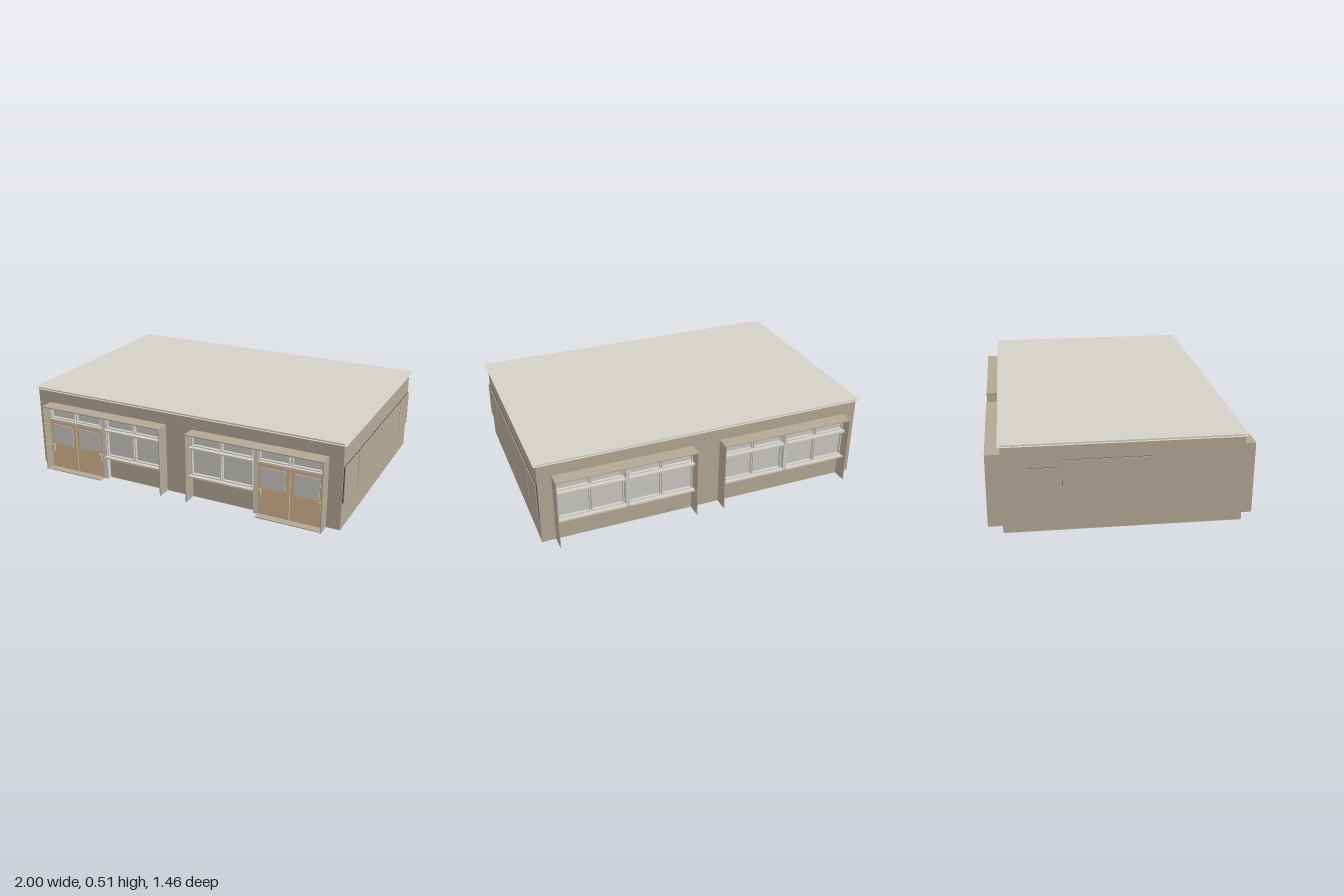
import * as THREE from 'three';

const mat = (name, color) => {
  const m = new THREE.MeshStandardMaterial({ color });
  m.name = name;
  return m;
};

export function createModel() {
  const wall = mat('wall taupe', 0xb4a895);
  const pale = mat('pale grey', 0xd4d0c7);
  const glass = mat('glass grey', 0xcbcac5);
  const wood = mat('door and floor tan', 0xd7b791);
  const dark = mat('dark trim', 0x4a5a52);
  const lipPale = mat('roof lip grey', 0xd4d0c7);
  lipPale.side = THREE.DoubleSide;
  const model = new THREE.Group();
  model.name = 'building';

  // Box given by its limits on each axis
  const box = (parent, name, m, x0, x1, y0, y1, z0, z1) => {
    const mesh = new THREE.Mesh(new THREE.BoxGeometry(Math.abs(x1 - x0), y1 - y0, z1 - z0), m);
    mesh.position.set((x0 + x1) / 2, (y0 + y1) / 2, (z0 + z1) / 2);
    mesh.name = name;
    parent.add(mesh);
    return mesh;
  };

  // Main block with a tan floor slab and a pale roof fascia
  const W = 0.986, D = 0.648;
  box(model, 'floor', wood, -W, W, 0, 0.002, -D, D);
  box(model, 'walls', wall, -W, W, 0.002, 0.497, -D, D);
  box(model, 'roofFascia', pale, -W, W, 0.497, 0.51, -D, D);

  // Thin sheets overhanging above and below the fascia
  for (const y of [0.497, 0.511]) {
    const lip = new THREE.Mesh(new THREE.PlaneGeometry(2, 1.32), lipPale);
    lip.rotation.x = -Math.PI / 2;
    lip.position.y = y;
    lip.name = 'roofLip';
    model.add(lip);
  }

  // Pane set back behind a border of four bars
  const pane = (g, x0, x1, y0, y1) => {
    const b = 0.006, z = D + 0.03;
    box(g, 'windowPane', glass, x0, x1, y0, y1, D + 0.006, D + 0.012);
    box(g, 'paneTop', pale, x0, x1, y1 - b, y1, D, z);
    box(g, 'paneBottom', pale, x0, x1, y0, y0 + b, D, z);
    box(g, 'paneLeft', pale, x0, x0 + b, y0 + b, y1 - b, D, z);
    box(g, 'paneRight', pale, x1 - b, x1, y0 + b, y1 - b, D, z);
  };

  // Two-light window unit with a sill, a transom ledge and top lights
  const windowUnit = (g, x0, x1) => {
    const mid = (x0 + x1) / 2;
    box(g, 'windowFrame', pale, x0, x1, 0.145, 0.415, D, D + 0.008);
    for (const [a, b] of [[x0 + 0.006, mid - 0.003], [mid + 0.003, x1 - 0.006]]) {
      pane(g, a, b, 0.155, 0.314);
      pane(g, a, b, 0.333, 0.41);
    }
    box(g, 'windowSill', pale, x0, x1, 0.145, 0.155, D, D + 0.055);
    box(g, 'transomLedge', pale, x0, x1, 0.32, 0.33, D, D + 0.05);
  };

  // Double door with glazed leaves, handles and top lights
  const doorUnit = (g, x0, x1) => {
    const mid = (x0 + x1) / 2;
    box(g, 'doorFrame', pale, x0, x1, 0, 0.415, D, D + 0.008);
    box(g, 'doorHead', pale, x0, x1, 0.32, 0.33, D, D + 0.04);
    box(g, 'threshold', wall, x0, x1, 0, 0.005, D, 0.722);
    for (const s of [-1, 1]) {
      const inner = mid + s * 0.002, outer = s < 0 ? x0 : x1;
      const a = Math.min(inner, outer), b = Math.max(inner, outer);
      box(g, 'doorLeaf', wood, a, b, 0.005, 0.318, D, D + 0.03);
      const c = (a + b) / 2 + s * 0.004;
      box(g, 'doorGlass', glass, c - 0.073, c + 0.073, 0.167, 0.294, D + 0.026, D + 0.034);
      const h = outer - s * 0.012;
      box(g, 'doorHandle', wood, h - 0.008, h + 0.008, 0.115, 0.16, D + 0.03, D + 0.044);
      pane(g, a + 0.004, b - 0.004, 0.333, 0.41);
    }
  };

  // Shaded bay: canopy, two fins, and its windows or doors
  const bay = (side, hasDoor) => {
    const g = new THREE.Group();
    g.name = hasDoor ? 'entranceBay' : 'windowBay';
    const x0 = side > 0 ? 0.084 : -0.906, x1 = side > 0 ? 0.906 : -0.084;
    const Z = 0.731;
    box(g, 'canopy', wall, x0, x1, 0.414, 0.42, D, Z);
    box(g, 'finA', wall, x0, x0 + 0.005, 0, 0.414, D, Z);
    box(g, 'finB', wall, x1 - 0.005, x1, 0, 0.414, D, Z);
    box(g, 'bayBacking', pale, x0 + 0.005, x1 - 0.005, 0.145, 0.414, D, D + 0.005);
    const span = (a, b) => side > 0 ? [a, b] : [-b, -a];
    windowUnit(g, ...span(0.09, 0.485));
    if (hasDoor) {
      doorUnit(g, ...span(0.514, 0.89));
      box(g, 'mullion', pale, ...span(0.485, 0.514), 0, 0.414, D, D + 0.03);
      box(g, 'jamb', pale, ...span(0.89, 0.9), 0, 0.414, D, D + 0.03);
    } else {
      windowUnit(g, ...span(0.505, 0.9));
      box(g, 'mullion', pale, ...span(0.485, 0.505), 0.145, 0.414, D, D + 0.05);
    }
    return g;
  };

  // Entrances in front, windows only at the back
  for (const side of [-1, 1]) {
    model.add(bay(side, true));
    const back = bay(side, false);
    back.rotation.y = Math.PI;
    model.add(back);
  }

  // Flat panels on the end walls, edged in dark trim
  const sidePanel = (s, y0, y1, z0, z1) => {
    box(model, 'panelEdge', dark, s * W, s * 0.992, y0, y1, z0, z1);
    box(model, 'sidePanel', wall, s * 0.992, s * 0.996, y0, y1, z0, z1);
  };
  sidePanel(1, 0.16, 0.37, 0.41, 0.64);
  sidePanel(1, 0.16, 0.37, -0.43, 0.4);
  sidePanel(1, 0.16, 0.37, -0.64, -0.44);
  sidePanel(-1, 0.2, 0.41, -0.33, 0.14);
  sidePanel(-1, 0.2, 0.37, -0.51, -0.34);

  return model;
}
